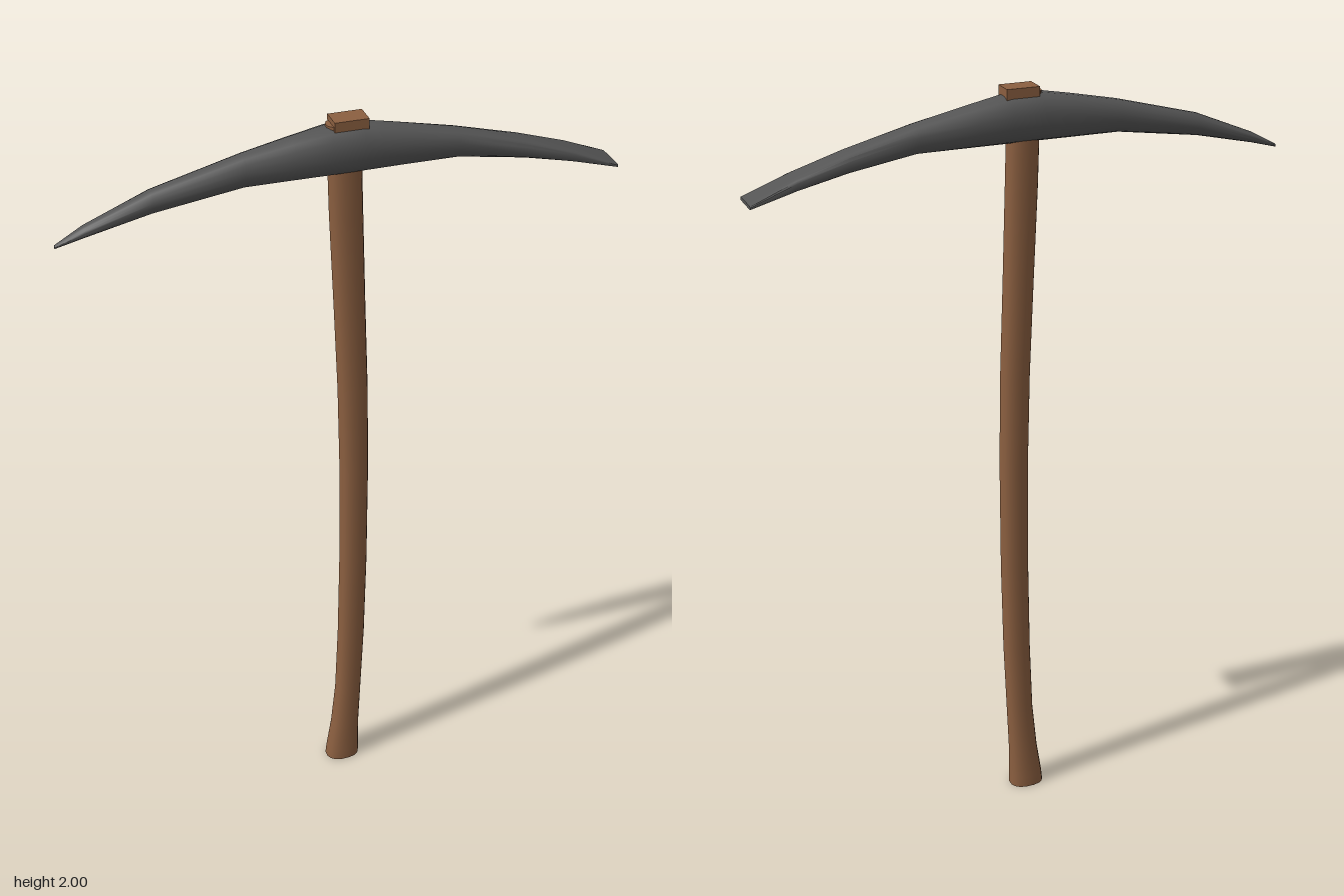
import * as THREE from 'three';
import { toCreasedNormals } from 'three/addons/utils/BufferGeometryUtils.js';

const steel = new THREE.MeshStandardMaterial({ color: 0x555555 });
steel.name = 'steel';
const wood = new THREE.MeshStandardMaterial({ color: 0x8b5f40 });
wood.name = 'wood';

// Closed loft through rings of points that run counter-clockwise about the path
function loft(rings) {
  const n = rings[0].length, pos = [], index = [];
  rings.forEach(r => r.forEach(p => pos.push(p.x, p.y, p.z)));
  for (let i = 0; i < rings.length - 1; i++) {
    for (let j = 0; j < n; j++) {
      const a = i * n + j, b = i * n + (j + 1) % n;
      index.push(a, b, b + n, a, b + n, a + n);
    }
  }
  [0, rings.length - 1].forEach((i, end) => {
    const c = new THREE.Vector3();
    rings[i].forEach(p => c.addScaledVector(p, 1 / n));
    const ci = pos.length / 3;
    pos.push(c.x, c.y, c.z);
    for (let j = 0; j < n; j++) {
      const a = i * n + j, b = i * n + (j + 1) % n;
      if (end) index.push(ci, a, b);
      else index.push(ci, b, a);
    }
  });
  const g = new THREE.BufferGeometry();
  g.setAttribute('position', new THREE.Float32BufferAttribute(pos, 3));
  g.setIndex(index);
  return toCreasedNormals(g, 0.85);
}

// Rounded section; power 1 is an ellipse, smaller is boxier
function section(power, place) {
  const f = v => Math.sign(v) * Math.pow(Math.abs(v), power);
  return Array.from({ length: 16 }, (_, j) => {
    const t = (j + 0.5) / 16 * Math.PI * 2;
    return place(f(Math.cos(t)), f(Math.sin(t)));
  });
}

function part(name, geometry, material) {
  const mesh = new THREE.Mesh(geometry, material);
  mesh.name = name;
  return mesh;
}

export function createModel() {
  const model = new THREE.Group();
  model.name = 'pickaxe';

  // Bowed handle: y, left edge, right edge, half depth
  const handle = [
    [0, -0.055, 0.04, 0.036], [0.03, -0.052, 0.04, 0.035], [0.12, -0.038, 0.041, 0.031],
    [0.25, -0.025, 0.047, 0.029], [0.45, -0.017, 0.056, 0.029], [0.7, -0.012, 0.062, 0.03],
    [1.0, -0.011, 0.064, 0.031], [1.25, -0.016, 0.061, 0.031], [1.5, -0.026, 0.053, 0.031],
    [1.75, -0.037, 0.046, 0.03], [1.9, -0.041, 0.042, 0.03], [1.987, -0.046, 0.04, 0.028],
  ].map(([y, l, r, d]) => section(0.85, (c, s) =>
    new THREE.Vector3((l + r) / 2 + c * (r - l) / 2, y, -s * d)));
  model.add(part('handle', loft(handle), wood));

  // Arched head: x, bottom, top, half depth, section power
  const head = [
    [-0.7, 1.774, 1.782, 0.005, 1], [-0.63, 1.793, 1.82, 0.018, 1],
    [-0.47, 1.829, 1.886, 0.027, 1], [-0.25, 1.861, 1.943, 0.034, 0.95],
    [-0.13, 1.862, 1.967, 0.044, 0.9], [-0.04, 1.863, 1.983, 0.051, 0.85],
    [0.04, 1.863, 1.983, 0.051, 0.85], [0.13, 1.863, 1.965, 0.046, 0.85],
    [0.28, 1.863, 1.932, 0.037, 0.75], [0.45, 1.838, 1.885, 0.038, 0.6],
    [0.58, 1.811, 1.842, 0.041, 0.5], [0.695, 1.784, 1.793, 0.046, 0.4],
  ].map(([x, b, t, d, p]) => section(p, (c, s) =>
    new THREE.Vector3(x, (b + t) / 2 + c * (t - b) / 2, s * d)));
  model.add(part('head', loft(head), steel));

  // Wedge driven into the top of the handle
  const wedge = part('wedge', new THREE.BoxGeometry(0.085, 0.03, 0.056), wood);
  wedge.position.set(0.01, 1.985, 0);
  model.add(wedge);

  return model;
}
